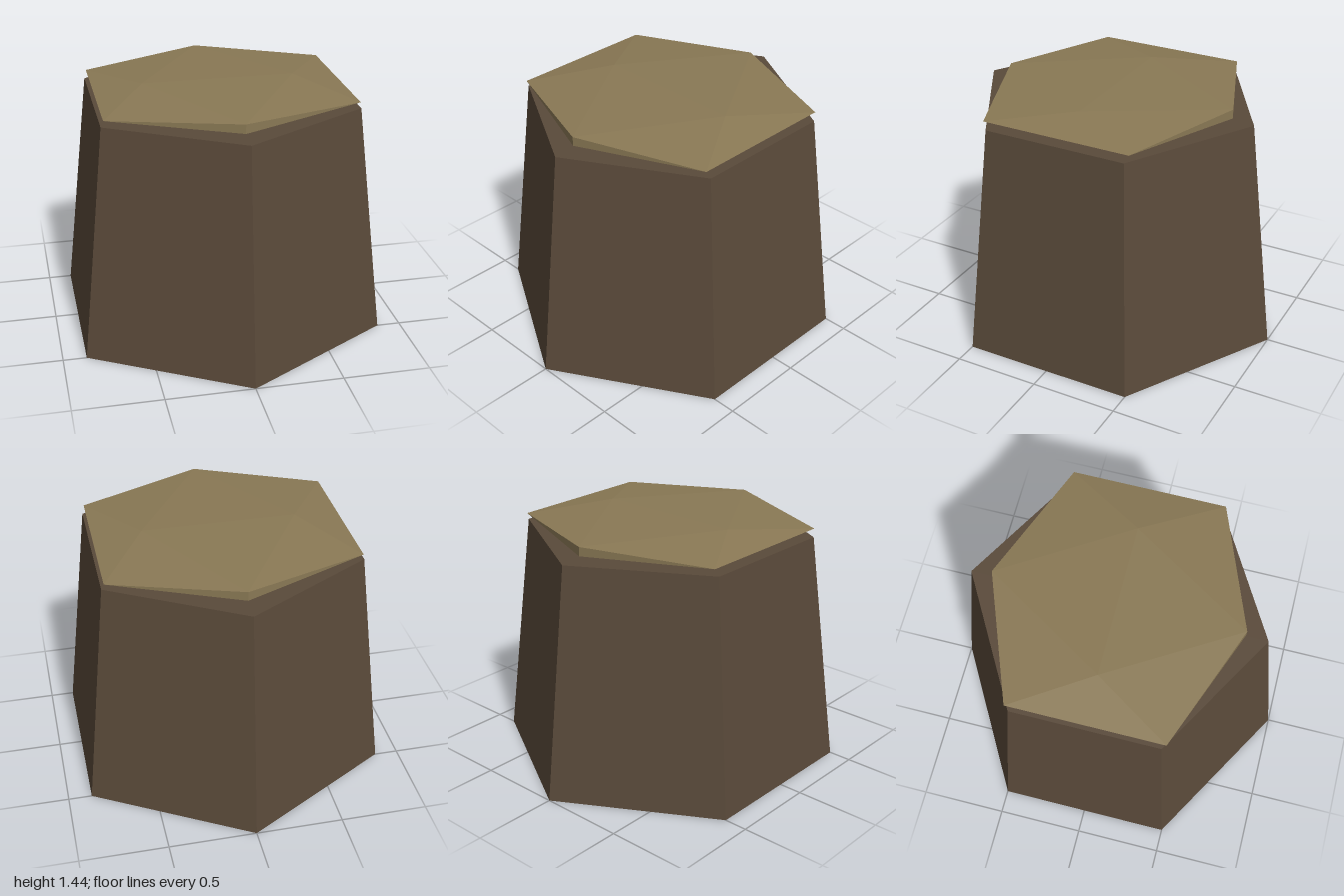
import * as THREE from 'three';

function makeMaterial(name, color) {
  const material = new THREE.MeshStandardMaterial({ color, flatShading: true });
  material.name = name;
  return material;
}

export function createModel() {
  const group = new THREE.Group();
  group.name = 'treeStump';
  const bark = makeMaterial('bark brown', 0x5a4a3a);
  const cutWood = makeMaterial('cut wood tan', 0x8a7955);

  const height = 1.355;
  const topRadius = 0.833;

  // Six-sided tapering trunk with corners on the z axis
  const trunk = new THREE.Mesh(new THREE.CylinderGeometry(topRadius, 1, height, 6), bark);
  trunk.name = 'trunk';
  trunk.position.y = height / 2;
  group.add(trunk);

  // Flattened low-poly cap resting on the cut
  const capGeometry = new THREE.IcosahedronGeometry(topRadius, 0);
  capGeometry.scale(1, 0.06, 1);
  const cap = new THREE.Mesh(capGeometry, cutWood);
  cap.name = 'cutTop';
  cap.position.y = height + 0.043;
  group.add(cap);

  return group;
}
